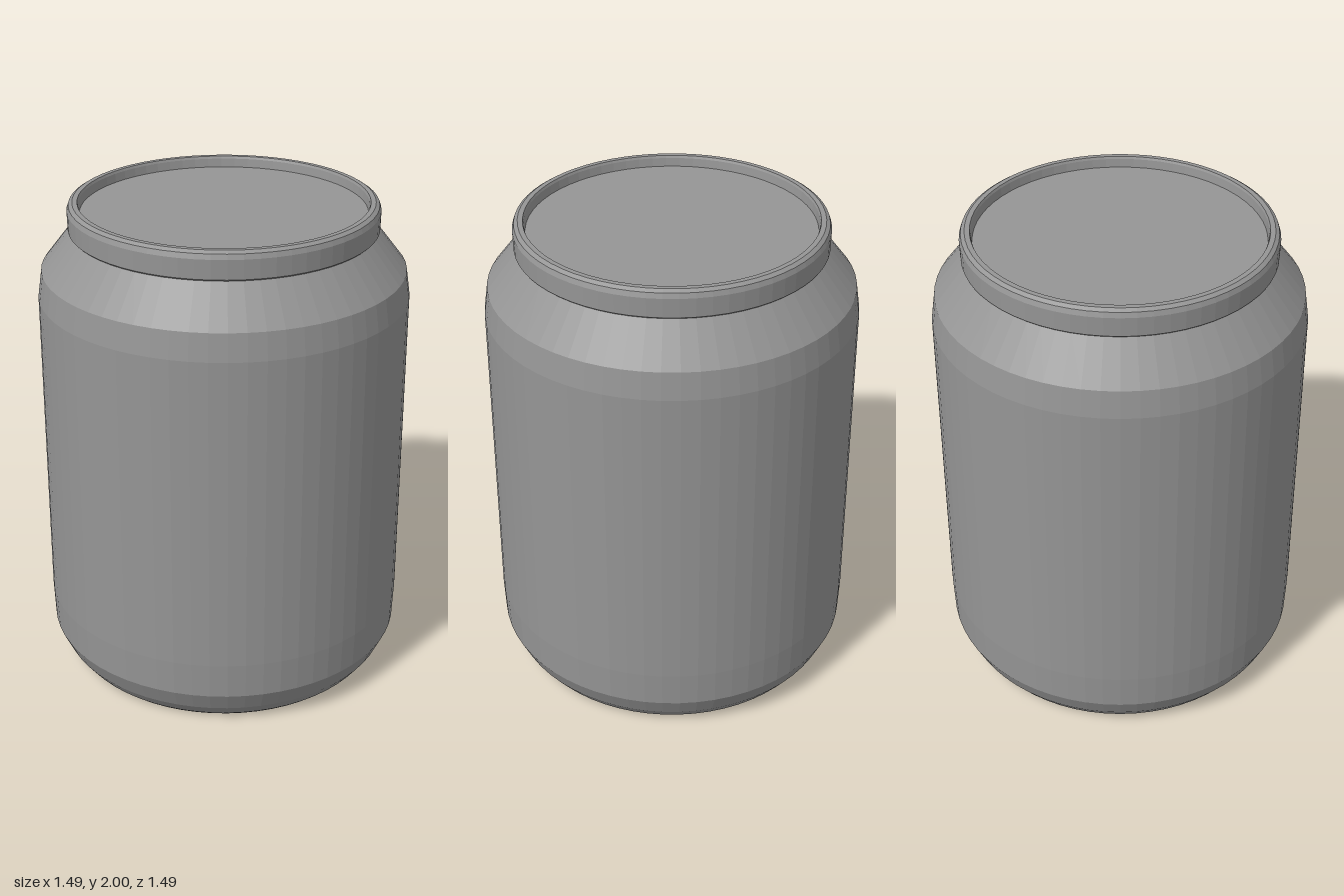
import * as THREE from 'three';

const SIDES = 64;

// Revolve a profile of [radius, height] pairs, listed from the underside outward and up
function turned(name, profile, material) {
  const points = profile.map(([r, y]) => new THREE.Vector2(r, y));
  const geometry = new THREE.LatheGeometry(points, SIDES);
  const mesh = new THREE.Mesh(geometry, material);
  mesh.name = name;
  return mesh;
}

export function createModel() {
  const group = new THREE.Group();
  group.name = 'can';

  const metal = new THREE.MeshStandardMaterial({ color: 0x959595, flatShading: true });
  metal.name = 'grey metal';

  // Recessed underside with its narrow standing ring
  group.add(turned('base', [[0, 0.025], [0.63, 0.025], [0.634, 0], [0.645, 0]], metal));

  // Curved foot, straight wall and sloping shoulder
  group.add(turned('body', [
    [0.645, 0], [0.662, 0.015], [0.7, 0.065], [0.74, 0.15], [0.746, 0.3],
    [0.746, 1.62], [0.73, 1.73], [0.61, 1.885],
  ], metal));

  // Rolled rim around the lid
  group.add(turned('rim', [
    [0.61, 1.885], [0.618, 1.892], [0.62, 1.97], [0.613, 1.99], [0.598, 2],
    [0.578, 2], [0.574, 1.99], [0.57, 1.955],
  ], metal));

  // Flat sunken lid
  group.add(turned('lid', [[0.57, 1.955], [0, 1.955]], metal));

  return group;
}
